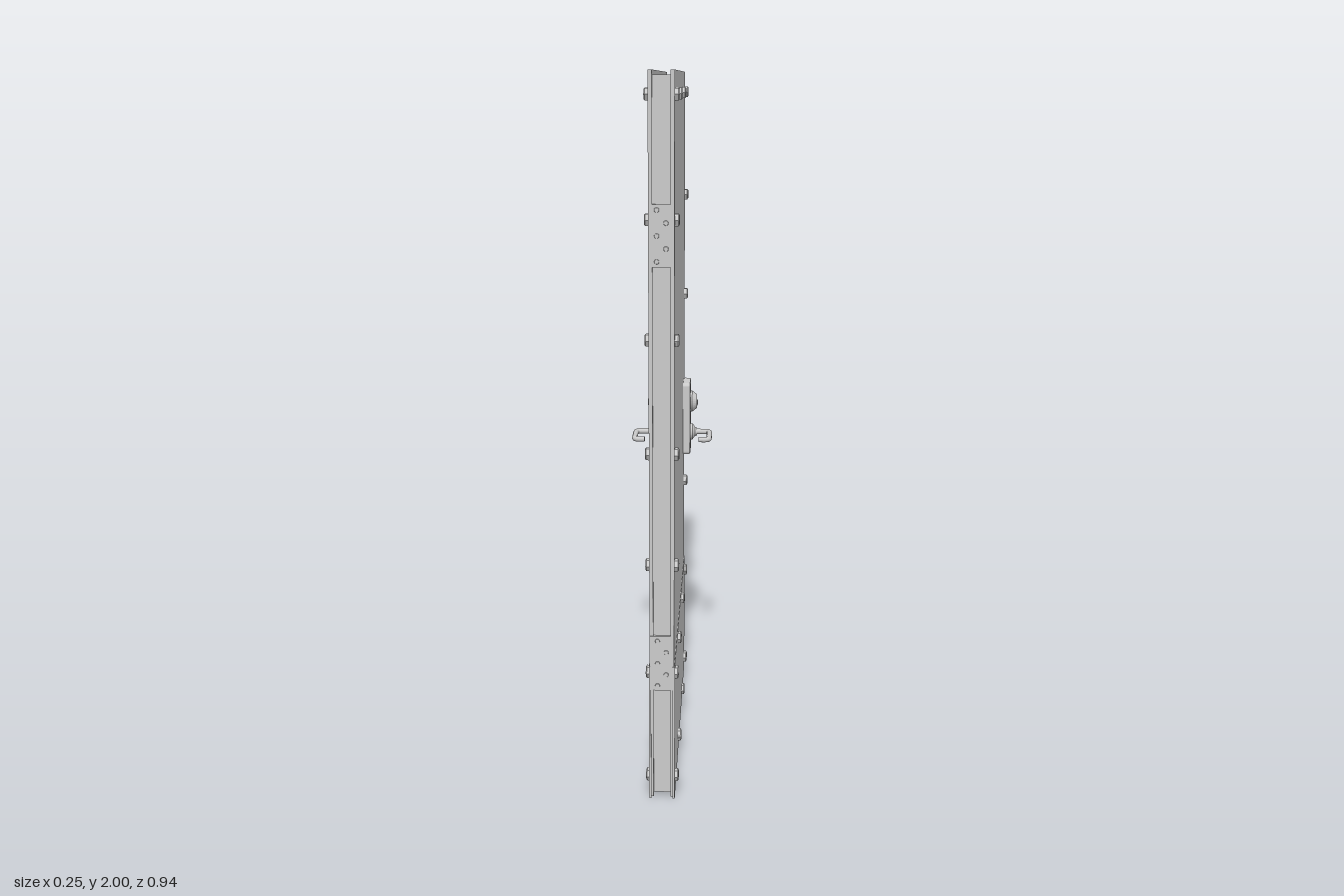
import * as THREE from 'three';

const mat = new THREE.MeshStandardMaterial({ color: 0xcccccc });
const flat = new THREE.MeshStandardMaterial({ color: 0xcccccc, flatShading: true });
const V = (x, y, z) => new THREE.Vector3(x, y, z);

export function createModel() {
  const door = new THREE.Group();
  door.name = 'door';

  const add = (name, geo, x, y, z, m = mat) => {
    const mesh = new THREE.Mesh(geo, m);
    mesh.name = name;
    mesh.position.set(x, y, z);
    door.add(mesh);
    return mesh;
  };
  // Box given by its limits on each axis
  const box = (name, x0, x1, y0, y1, z0, z1) =>
    add(name, new THREE.BoxGeometry(x1 - x0, y1 - y0, z1 - z0),
      (x0 + x1) / 2, (y0 + y1) / 2, (z0 + z1) / 2);
  // Turned part whose axis points out of the face on side s; profile is [radius, height]
  const turned = (name, s, profile, sides, x, y, z, m = mat) => {
    const pts = profile.map(([r, h]) => new THREE.Vector2(r, h));
    const mesh = add(name, new THREE.LatheGeometry(pts, sides), s * x, y, z, m);
    mesh.rotation.z = -s * Math.PI / 2;
    return mesh;
  };

  // Recessed core between two skins
  box('core', -0.024, 0.024, 0.015, 1.988, -0.444, 0.457);

  // Bolt positions as [z, y]
  const zs = [0.429, 0.183, -0.138, -0.397];
  const bolts = [];
  for (const y of [1.94, 0.37, 0.055]) for (const z of zs) bolts.push([z, y]);
  for (const y of [1.625, 1.31, 0.685]) bolts.push([zs[0], y], [zs[3], y]);
  bolts.push([zs[0], 1.0]);

  // Escutcheon outline with small rounded corners, bevelled on extrusion
  const w = 0.046, h = 0.112, c = 0.006;
  const outline = new THREE.Shape();
  outline.moveTo(-w + c, -h).lineTo(w - c, -h).quadraticCurveTo(w, -h, w, -h + c)
    .lineTo(w, h - c).quadraticCurveTo(w, h, w - c, h)
    .lineTo(-w + c, h).quadraticCurveTo(-w, h, -w, h - c)
    .lineTo(-w, -h + c).quadraticCurveTo(-w, -h, -w + c, -h);
  const plateGeo = new THREE.ExtrudeGeometry(outline, {
    depth: 0.014, bevelThickness: 0.006, bevelSize: 0.005, bevelSegments: 2, curveSegments: 4,
  });

  for (const s of [1, -1]) {
    const side = (name, a, b, ...rest) => box(name, Math.min(s * a, s * b), Math.max(s * a, s * b), ...rest);
    side('skin', 0.0235, 0.034, 0.004, 2, -0.449, 0.463);
    side('kickPlate', 0.03, 0.036, 0, 0.4, -0.449, 0.467);

    // Chamfered hex bolts
    for (const [z, y] of bolts) {
      turned('bolt', s, [[0.018, 0], [0.018, 0.009], [0.014, 0.012], [0, 0.012]], 6, 0.034, y, z, flat);
    }

    // Escutcheon, lock cylinder and lever rose
    const hz = -0.345;
    const plate = add('handlePlate', plateGeo, s * 0.038, 0.917, hz);
    plate.rotation.y = s * Math.PI / 2;
    turned('lockCollar', s, [[0.034, 0], [0.034, 0.005], [0.022, 0.02], [0.0, 0.02]], 28, 0.058, 0.966, hz, flat);
    turned('lockPlug', s, [[0.011, 0], [0.011, 0.002], [0, 0.002]], 20, 0.078, 0.962, hz, flat);
    side('keySlot', 0.079, 0.081, 0.955, 0.969, hz - 0.0015, hz + 0.0015);
    turned('leverRose', s, [[0.026, 0], [0.026, 0.006], [0.015, 0.014], [0.013, 0.02], [0, 0.02]], 28, 0.058, 0.865, hz, flat);

    // Lever: out from the door, along it, then a return towards it
    const path = new THREE.CurvePath();
    const xo = s * 0.119, r = 0.016, y = 0.865, z1 = -0.24;
    path.add(new THREE.LineCurve3(V(s * 0.06, y, hz), V(xo - s * r, y, hz)));
    path.add(new THREE.QuadraticBezierCurve3(V(xo - s * r, y, hz), V(xo, y, hz), V(xo, y, hz + r)));
    path.add(new THREE.LineCurve3(V(xo, y, hz + r), V(xo, y, z1 - r)));
    path.add(new THREE.QuadraticBezierCurve3(V(xo, y, z1 - r), V(xo, y, z1), V(xo - s * r, y, z1)));
    path.add(new THREE.LineCurve3(V(xo - s * r, y, z1), V(s * 0.086, y, z1)));
    add('lever', new THREE.TubeGeometry(path, 60, 0.0085, 14), 0, 0, 0);
    const cap = add('leverEnd', new THREE.CircleGeometry(0.0085, 14), s * 0.086, y, z1);
    cap.rotation.y = -s * Math.PI / 2;
  }

  // Hinge leaves on the front edge with staggered screws
  for (const y of [0.41, 1.587]) {
    box('hingeLeaf', -0.033, 0.032, y - 0.08, y + 0.08, 0.455, 0.4655);
    for (let i = 0; i < 5; i++) {
      const screw = add('hingeScrew', new THREE.CylinderGeometry(0.006, 0.007, 0.002, 12),
        i % 2 ? 0.012 : -0.012, y + 0.066 - i * 0.033, 0.466);
      screw.rotation.x = Math.PI / 2;
    }
  }

  // Latch face plate on the back edge with screws
  box('latchPlate', -0.02, 0.02, 0.76, 1.03, -0.448, -0.442);
  for (const y of [0.785, 0.82, 0.91, 0.95, 0.985, 1.012]) {
    const screw = add('latchScrew', new THREE.CylinderGeometry(0.006, 0.007, 0.002, 12), 0, y, -0.449);
    screw.rotation.x = -Math.PI / 2;
  }

  // Spring latch with one curved face
  const bolt = new THREE.Shape();
  bolt.moveTo(-0.01, 0.44).lineTo(0.01, 0.44).lineTo(0.01, 0.47)
    .lineTo(0.006, 0.469).quadraticCurveTo(-0.007, 0.463, -0.01, 0.453).lineTo(-0.01, 0.44);
  const latch = add('latch', new THREE.ExtrudeGeometry(bolt, { depth: 0.028, bevelEnabled: false }), 0, 0.851, 0);
  latch.rotation.x = -Math.PI / 2;

  return door;
}
